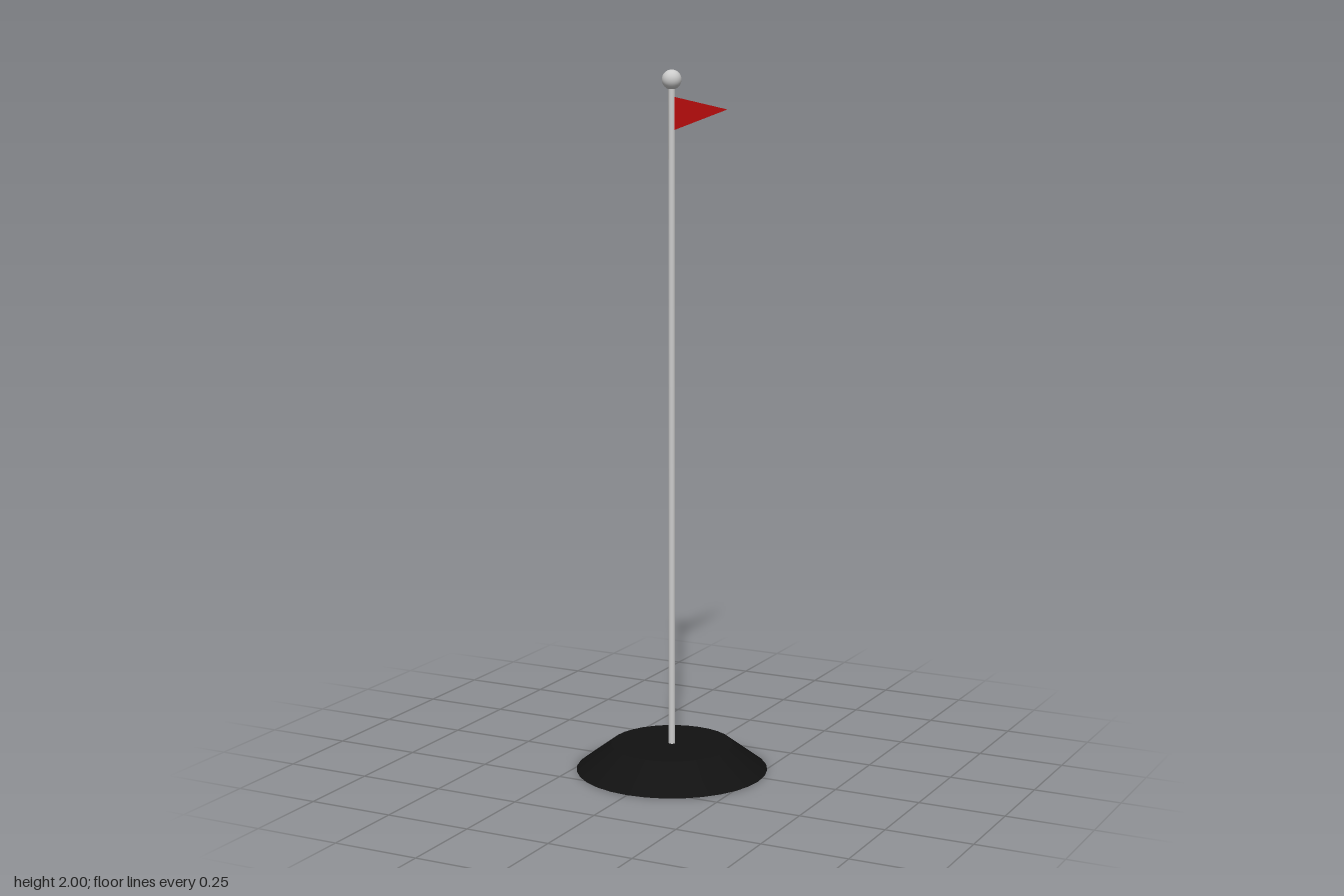
import * as THREE from 'three';

const AXIS_Z = 0.033; // the pole stands slightly forward, balancing the flag

function part(name, geometry, color, y) {
  const mesh = new THREE.Mesh(geometry, new THREE.MeshStandardMaterial({ color }));
  mesh.name = name;
  mesh.position.set(0, y, AXIS_Z);
  return mesh;
}

// Pennant: a box whose far end is drawn together into a point
function pennantGeometry(length, height, thickness, tipX) {
  const box = new THREE.BoxGeometry(thickness, height, length).toNonIndexed();
  const p = box.attributes.position;
  for (let i = 0; i < p.count; i++) {
    if (p.getZ(i) < 0) p.setXYZ(i, tipX + p.getX(i) * 0.03, p.getY(i) * 0.02, -length);
    else p.setZ(i, 0);
  }
  box.computeVertexNormals();
  return box;
}

export function createModel() {
  const model = new THREE.Group();
  model.name = 'flagpole';

  // Weighted foot
  model.add(part('base', new THREE.CylinderGeometry(0.176, 0.276, 0.075, 32), 0x111111, 0.0375));

  // Pole and ball on top
  model.add(part('pole', new THREE.CylinderGeometry(0.0095, 0.0095, 1.9, 24), 0xcccccc, 1.015));
  model.add(part('finial', new THREE.SphereGeometry(0.0275, 32, 16), 0xcccccc, 1.9725));

  // Red flag pointing backwards
  model.add(part('flag', pennantGeometry(0.34, 0.09, 0.0195, 0.004), 0xdd1111, 1.88));

  return model;
}
